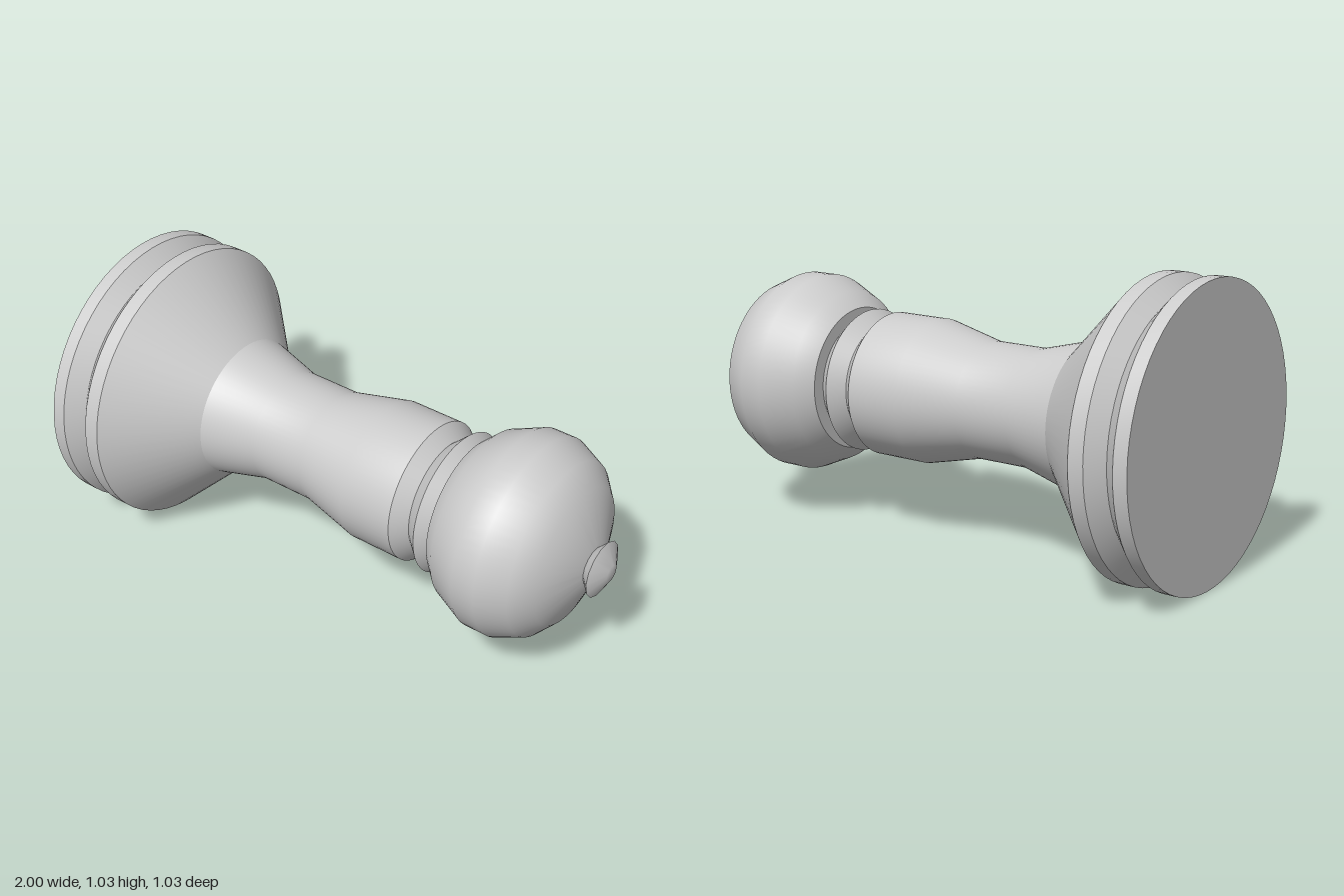
import * as THREE from 'three';
import { toCreasedNormals } from 'three/addons/utils/BufferGeometryUtils.js';

const AXIS_HEIGHT = 0.515;
const material = new THREE.MeshStandardMaterial({ color: 0xcccccc });

// Turned part lying along x; profile points are [x, radius]
function turned(name, profile, sides = 64) {
  const points = profile.map(([x, r]) => new THREE.Vector2(r, x));
  const lathe = new THREE.LatheGeometry(points, sides).rotateZ(-Math.PI / 2);
  const mesh = new THREE.Mesh(toCreasedNormals(lathe, 0.6), material);
  mesh.name = name;
  mesh.position.y = AXIS_HEIGHT;
  return mesh;
}

export function createModel() {
  const group = new THREE.Group();
  group.name = 'turnedPiece';
  group.add(
    // Grooved foot and flared cone
    turned('base', [
      [-1, 0], [-1, 0.515], [-0.95, 0.515], [-0.895, 0.46],
      [-0.845, 0.515], [-0.79, 0.515], [-0.535, 0.257],
    ]),
    // Waisted shaft, ending in a chamfer
    turned('shaft', [
      [-0.535, 0.257], [-0.34, 0.206], [-0.13, 0.206],
      [0.09, 0.257], [0.29, 0.257], [0.34, 0.21],
    ]),
    // Sharp ring between shaft and head
    turned('collar', [[0.34, 0.21], [0.392, 0.257], [0.445, 0.21]]),
    // Bulbous head with a flat underside
    turned('head', [
      [0.445, 0.21], [0.445, 0.257], [0.5, 0.31], [0.615, 0.36], [0.7, 0.36],
      [0.8, 0.315], [0.86, 0.247], [0.93, 0.08], [0.93, 0],
    ]),
    // Small finial
    turned('finial', [[0.925, 0.06], [0.963, 0.101], [0.998, 0.03], [1, 0]], 14),
  );
  return group;
}
